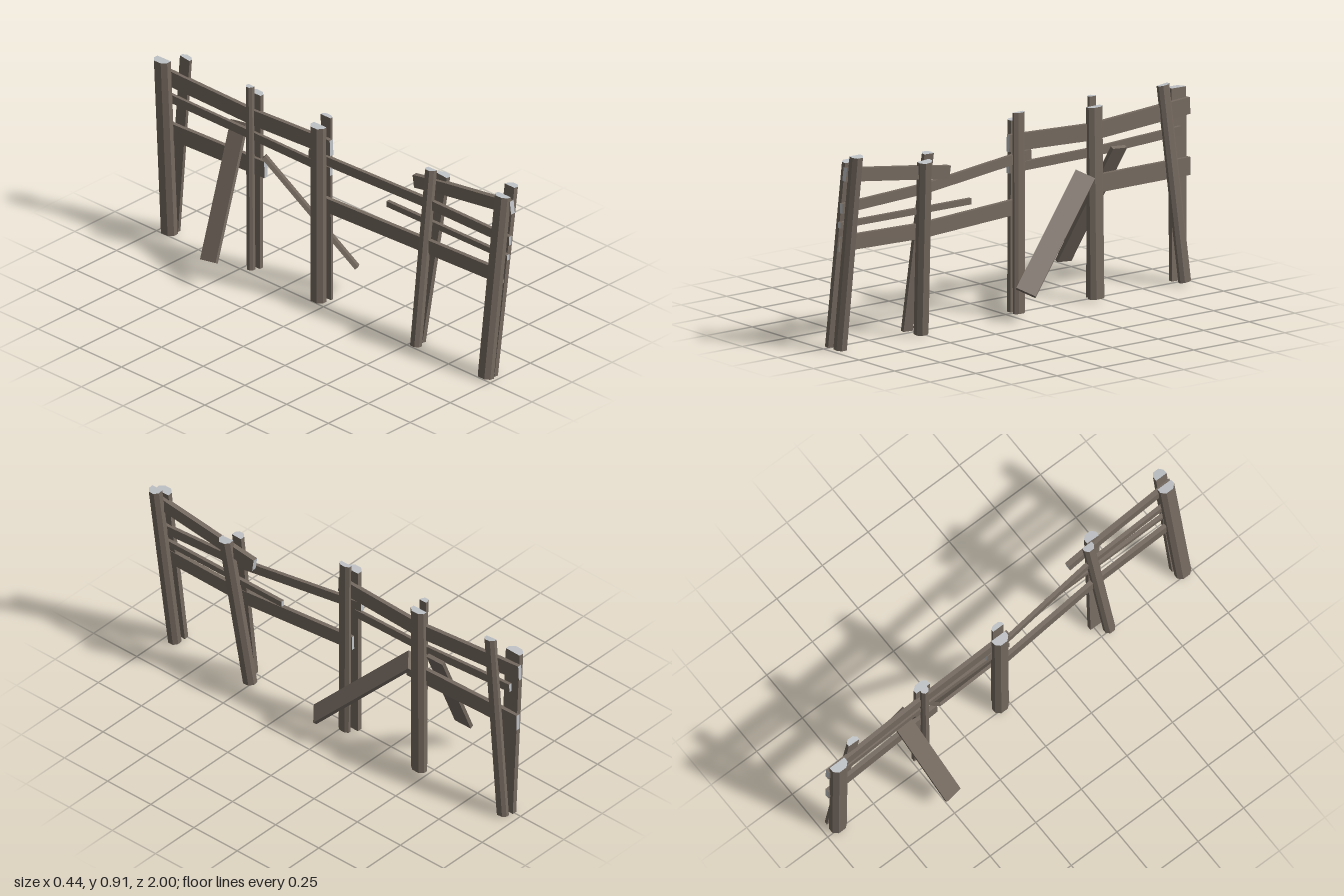
import * as THREE from 'three';

const wood = new THREE.MeshStandardMaterial({ color: 0x756a60 });
wood.name = 'weathered brown wood';
const endGrain = new THREE.MeshStandardMaterial({ color: 0xc0c3c6 });
endGrain.name = 'pale grey end grain';

// Sweeps a convex profile along a path; `side` is the direction of the profile's first axis.
// Material slots: 0 sides, 1 start cap, 2 end cap.
function sweep(name, path, side, profile, materials) {
  const pts = path.map(p => new THREE.Vector3(...p));
  const rings = pts.map((p, i) => {
    const d = pts[Math.min(i + 1, pts.length - 1)].clone().sub(pts[Math.max(i - 1, 0)]).normalize();
    const u = new THREE.Vector3(...side);
    u.addScaledVector(d, -u.dot(d)).normalize();
    const v = d.clone().cross(u);
    return profile.map(([a, b]) => p.clone().addScaledVector(u, a).addScaledVector(v, b));
  });
  const n = profile.length, out = [];
  const tri = (a, b, c) => out.push(...a.toArray(), ...b.toArray(), ...c.toArray());
  for (let i = 0; i < rings.length - 1; i++) {
    for (let k = 0; k < n; k++) {
      const j = (k + 1) % n, r = rings[i], s = rings[i + 1];
      tri(r[k], r[j], s[j]);
      tri(r[k], s[j], s[k]);
    }
  }
  const sides = out.length / 3, cap = (n - 2) * 3;
  const first = rings[0], last = rings[rings.length - 1];
  for (let k = 1; k < n - 1; k++) tri(first[0], first[k + 1], first[k]);
  for (let k = 1; k < n - 1; k++) tri(last[0], last[k], last[k + 1]);
  const g = new THREE.BufferGeometry();
  g.setAttribute('position', new THREE.Float32BufferAttribute(out, 3));
  g.addGroup(0, sides, 0);
  g.addGroup(sides, cap, 1);
  g.addGroup(sides + cap, cap, 2);
  g.computeVertexNormals();
  const mesh = new THREE.Mesh(g, materials);
  mesh.name = name;
  return mesh;
}

const rect = (w, h) => [[-w / 2, -h / 2], [w / 2, -h / 2], [w / 2, h / 2], [-w / 2, h / 2]];

// Split post: flat against the rails, chamfered on the outside
const halfLog = (w, h) => {
  const a = w * 0.45, b = h * 0.26;
  return [[-w / 2, -h / 2], [w / 2 - a, -h / 2], [w / 2, -h / 2 + b],
    [w / 2, h / 2 - b], [w / 2 - a, h / 2], [-w / 2, h / 2]];
};

export function createModel() {
  const fence = new THREE.Group();
  fence.name = 'brokenFence';

  // Pairs of posts gripping the rails: name, outward side, bottom, top, width, depth
  const posts = [
    ['frontPostLeft', 1, [0.065, 0.005, 0.952], [0.185, 0.888, 0.957], 0.04, 0.058],
    ['frontPostRight', -1, [0.007, 0.013, 0.958], [0.12, 0.858, 0.953], 0.04, 0.075],
    ['secondPostLeft', 1, [0.07, 0.008, 0.512], [0.165, 0.802, 0.567], 0.04, 0.065],
    ['secondPostRight', -1, [0.0, 0.017, 0.548], [0.118, 0.828, 0.525], 0.034, 0.052],
    ['middlePostLeft', 1, [0.06, 0.015, -0.03], [0.056, 0.91, -0.03], 0.023, 0.058],
    ['middlePostRight', -1, [0.005, 0.015, -0.043], [0.006, 0.87, -0.045], 0.042, 0.075],
    ['fourthPostLeft', 1, [0.058, 0.015, -0.457], [0.053, 0.87, -0.45], 0.034, 0.075],
    ['fourthPostRight', -1, [0.012, 0.015, -0.45], [0.013, 0.91, -0.457], 0.026, 0.036],
    ['backPostLeft', 1, [0.057, 0.015, -0.942], [0.028, 0.902, -0.845], 0.028, 0.058],
    ['backPostRight', -1, [0.002, 0.015, -0.935], [-0.024, 0.867, -0.952], 0.042, 0.08],
  ];
  for (const [name, s, bottom, top, w, h] of posts)
    fence.add(sweep(name, [bottom, top], [s, 0, 0], halfLog(w, h), [wood, wood, endGrain]));

  // Sagging rails running along the fence: name, path, thickness, height
  const rails = [
    ['frontTopRail', [[0.143, 0.807, 0.995], [0.14, 0.755, 0.6], [0.135, 0.728, 0.42]], 0.024, 0.06],
    ['frontMiddleRail', [[0.125, 0.652, 1], [0.108, 0.667, 0.53], [0.04, 0.7, 0], [0.03, 0.708, -0.11]], 0.018, 0.045],
    ['frontThinRail', [[0.112, 0.575, 1], [0.11, 0.573, 0.28]], 0.018, 0.027],
    ['frontLowerRail', [[0.088, 0.485, 0.985], [0.082, 0.474, 0.53], [0.032, 0.488, -0.06]], 0.02, 0.068],
    ['backTopRail', [[0.035, 0.775, 0.015], [0.032, 0.755, -0.45], [0.004, 0.783, -1]], 0.02, 0.075],
    ['backMiddleRail', [[0.033, 0.66, 0.015], [0.031, 0.664, -0.45], [0.01, 0.68, -0.95]], 0.016, 0.04],
    ['backLowerRail', [[0.036, 0.522, -0.38], [0.031, 0.52, -0.5], [0.012, 0.516, -0.995]], 0.02, 0.08],
  ];
  for (const [name, path, w, h] of rails)
    fence.add(sweep(name, path, [1, 0, 0], rect(w, h), [wood, endGrain, endGrain]));

  // Fallen planks leaning on either side
  fence.add(sweep('fallenPlankLeft', [[0.18, 0.138, 0.03], [0.047, 0.573, -0.4]],
    [0.065, -0.03, -0.06], rect(0.092, 0.018), [wood, wood, wood]));
  fence.add(sweep('fallenPlankRight', [[-0.213, 0.128, -0.482], [0.068, 0.675, -0.568]],
    [0, 0.01, -0.09], rect(0.085, 0.018), [wood, wood, wood]));

  return fence;
}
